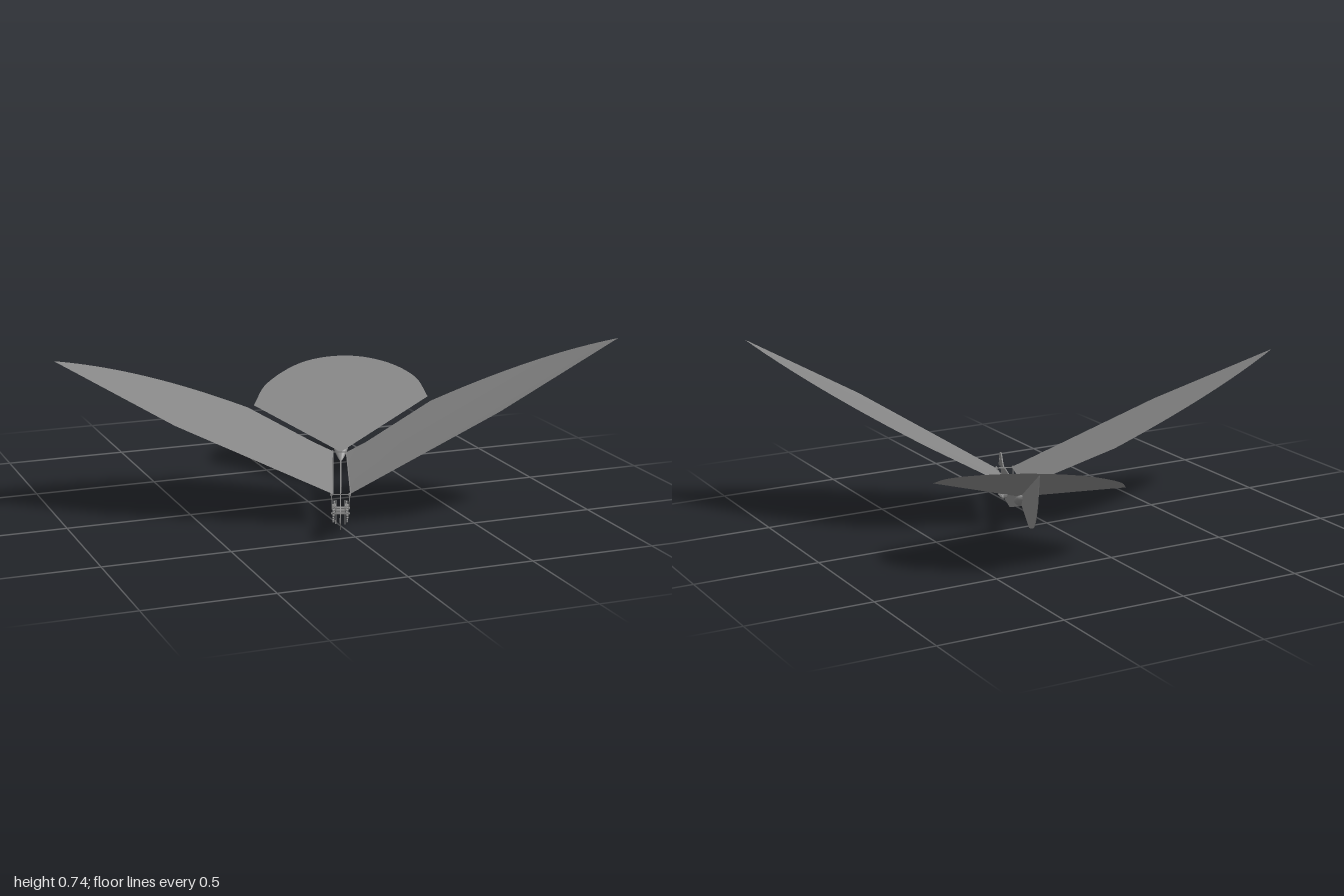
import * as THREE from 'three';

const grey = new THREE.MeshStandardMaterial({ color: 0x868686, side: THREE.DoubleSide });
const K = 0.928; // cosine of the body's yaw
const V = (a) => new THREE.Vector3(...a);

function add(parent, name, geometry, position = [0, 0, 0]) {
  const mesh = new THREE.Mesh(geometry, grey);
  mesh.name = name;
  mesh.position.set(...position);
  parent.add(mesh);
  return mesh;
}

// Thin sheet through an outline of 3D points
function sheet(points) {
  const faces = THREE.ShapeUtils.triangulateShape(points.map((p) => new THREE.Vector2(p.x, -p.z)), []);
  const g = new THREE.BufferGeometry().setFromPoints(points);
  g.setIndex(faces.flat());
  g.computeVertexNormals();
  return g;
}

// Plate standing in the body's plane; the shape's x runs forwards
function plate(shape, depth) {
  const g = new THREE.ExtrudeGeometry(shape, { depth, bevelEnabled: false, curveSegments: 16 });
  return g.rotateY(-Math.PI / 2).translate(depth / 2, 0, 0);
}

function circleHole(x, y, r) {
  return new THREE.Path().absarc(x, y, r, 0, Math.PI * 2, true);
}

// Thin rod between two points
function rod(parent, name, a, b, r) {
  const g = new THREE.CylinderGeometry(r, r, a.distanceTo(b), 8);
  const mesh = add(parent, name, g, a.clone().lerp(b, 0.5).toArray());
  mesh.quaternion.setFromUnitVectors(new THREE.Vector3(0, 1, 0), b.clone().sub(a).normalize());
}

function gear(r, teeth) {
  const pts = [];
  for (let i = 0; i < teeth * 4; i++) {
    const a = (i / (teeth * 4)) * Math.PI * 2;
    const q = i % 4 < 2 ? r : r * 0.88;
    pts.push(new THREE.Vector2(Math.cos(a) * q, Math.sin(a) * q));
  }
  const s = new THREE.Shape(pts);
  s.holes.push(circleHole(0, 0, r * 0.12));
  for (let i = 0; i < 5; i++) {
    const a = (i / 5) * Math.PI * 2;
    s.holes.push(circleHole(Math.cos(a) * r * 0.5, Math.sin(a) * r * 0.5, r * 0.22));
  }
  return plate(s, 0.006);
}

function addWing(parent, side, root, elbow, tip, bulge, rear, notch, heel) {
  const edge = new THREE.QuadraticBezierCurve3(V(tip), V(bulge), V(rear)).getPoints(24);
  add(parent, side + 'Wing', sheet([V(root), V(elbow), ...edge, V(notch), V(heel)]));
  rod(parent, side + 'WingRootRod', V(root), V(heel), 0.002);
}

export function createModel() {
  const model = new THREE.Group();

  addWing(model, 'left', [0.025, 0.138, 0.388], [0.535, 0.472, 0.625], [1, 0.737, 0.69],
    [0.87, 0.6, 0.28], [0.517, 0.383, 0.037], [0.25, 0.226, 0], [0.175, 0.183, -0.028]);
  addWing(model, 'right', [-0.04, 0.138, 0.367], [-0.605, 0.41, 0.155], [-1, 0.635, -0.13],
    [-0.6, 0.535, -0.315], [-0.17, 0.35, -0.245], [0.05, 0.225, -0.09], [0.125, 0.187, -0.045]);

  // Tail fan lies in one tilted plane
  const fanPoint = ([x, z]) => new THREE.Vector3(x, 0.165 + 0.225 * (x - 0.18) - 0.39 * (z + 0.1), z);
  const arc = new THREE.CatmullRomCurve3([[-0.045, -0.53], [0.05, -0.635], [0.24, -0.698], [0.42, -0.655],
    [0.56, -0.54], [0.637, -0.39], [0.635, -0.25]].map(fanPoint)).getPoints(40);
  add(model, 'tailFan', sheet([fanPoint([0.18, -0.1]), ...arc]));

  // Everything in the body's own frame, nose along +z
  const body = new THREE.Group();
  body.name = 'body';
  body.position.x = 0.14;
  body.rotation.y = -Math.asin(0.374);
  model.add(body);

  // Fuselage plate with beaked head
  const s = new THREE.Shape();
  s.moveTo(0.57 / K, 0.085);
  s.bezierCurveTo(0.573 / K, 0.125, 0.55 / K, 0.162, 0.505 / K, 0.163);
  s.bezierCurveTo(0.47 / K, 0.162, 0.46 / K, 0.125, 0.40 / K, 0.13);
  s.lineTo(0.385 / K, 0.134);
  s.lineTo(-0.04 / K, 0.183);
  s.quadraticCurveTo(-0.08 / K, 0.18, -0.09 / K, 0.155);
  s.lineTo(-0.07 / K, 0.115);
  s.lineTo(0.2 / K, 0.022);
  s.lineTo(0.39 / K, 0);
  s.quadraticCurveTo(0.41 / K, 0, 0.425 / K, 0.015);
  s.lineTo(0.49 / K, 0.08);
  s.bezierCurveTo(0.52 / K, 0.115, 0.555 / K, 0.12, 0.57 / K, 0.085);
  s.holes.push(circleHole(0.53 / K, 0.13, 0.006), circleHole(-0.065 / K, 0.15, 0.005));
  add(body, 'fuselagePlate', plate(s, 0.005));

  // Fin hanging beneath the tail fan
  const fin = new THREE.Shape();
  fin.moveTo(-0.1 / K, 0.16);
  fin.lineTo(-0.66 / K, 0.428);
  fin.splineThru([[-0.61, 0.29], [-0.52, 0.185], [-0.38, 0.132]].map(([z, y]) => new THREE.Vector2(z / K, y)));
  fin.lineTo(-0.155 / K, 0.152);
  add(body, 'tailFin', plate(fin, 0.002));

  // Teardrop pod where the tail joins, pointed end forwards and down
  const drop = new THREE.SplineCurve([[0, -0.065], [0.013, -0.04], [0.027, 0], [0.029, 0.025], [0.02, 0.052], [0, 0.065]]
    .map((p) => new THREE.Vector2(...p)));
  const pod = add(body, 'tailPod', new THREE.LatheGeometry(drop.getPoints(20), 24).rotateX(-Math.PI / 2), [0, 0.16, -0.155]);
  pod.scale.y = 0.55;
  pod.rotation.x = 0.58;

  // Gearbox: frames, gears, motor and axles
  const box = new THREE.Group();
  box.name = 'gearbox';
  body.add(box);
  const frame = new THREE.Shape();
  frame.moveTo(0.435, 0.025);
  frame.lineTo(0.435, 0.095);
  frame.lineTo(0.36, 0.1);
  frame.lineTo(0.3, 0.075);
  frame.lineTo(0.3, 0.035);
  frame.lineTo(0.37, 0.02);
  frame.holes.push(circleHole(0.405, 0.06, 0.023), circleHole(0.35, 0.06, 0.022));
  const gears = [[0.4, 0.058, 0.036, 20], [0.335, 0.06, 0.029, 16], [0.295, 0.05, 0.015, 10]];
  for (const side of [1, -1]) {
    add(box, 'gearboxFrame', plate(frame, 0.004), [side * 0.018, 0, 0]);
    gears.forEach(([z, y, r, n], i) => add(box, 'gear', gear(r, n), [side * (0.027 - i * 0.002), y, z]));
    rod(box, 'pushRod', V([side * 0.032, 0.075, 0.405]), V([side * 0.035, 0.138, 0.405]), 0.002);
  }
  gears.forEach(([z, y]) => rod(box, 'axle', V([-0.036, y, z]), V([0.036, y, z]), 0.004));
  rod(box, 'motor', V([-0.016, 0.045, 0.315]), V([0.016, 0.045, 0.315]), 0.014);

  // Cross pieces carrying the wing hinges
  for (const [y, z] of [[0.136, 0.407], [0.184, -0.038]]) {
    add(body, 'hingeBar', new THREE.BoxGeometry(0.07, 0.004, 0.005), [0, y, z]);
    for (const side of [1, -1]) {
      const hinge = new THREE.CylinderGeometry(0.005, 0.005, 0.018, 12).rotateX(Math.PI / 2);
      add(body, 'wingHinge', hinge, [side * 0.035, y, z]);
    }
  }
  return model;
}
